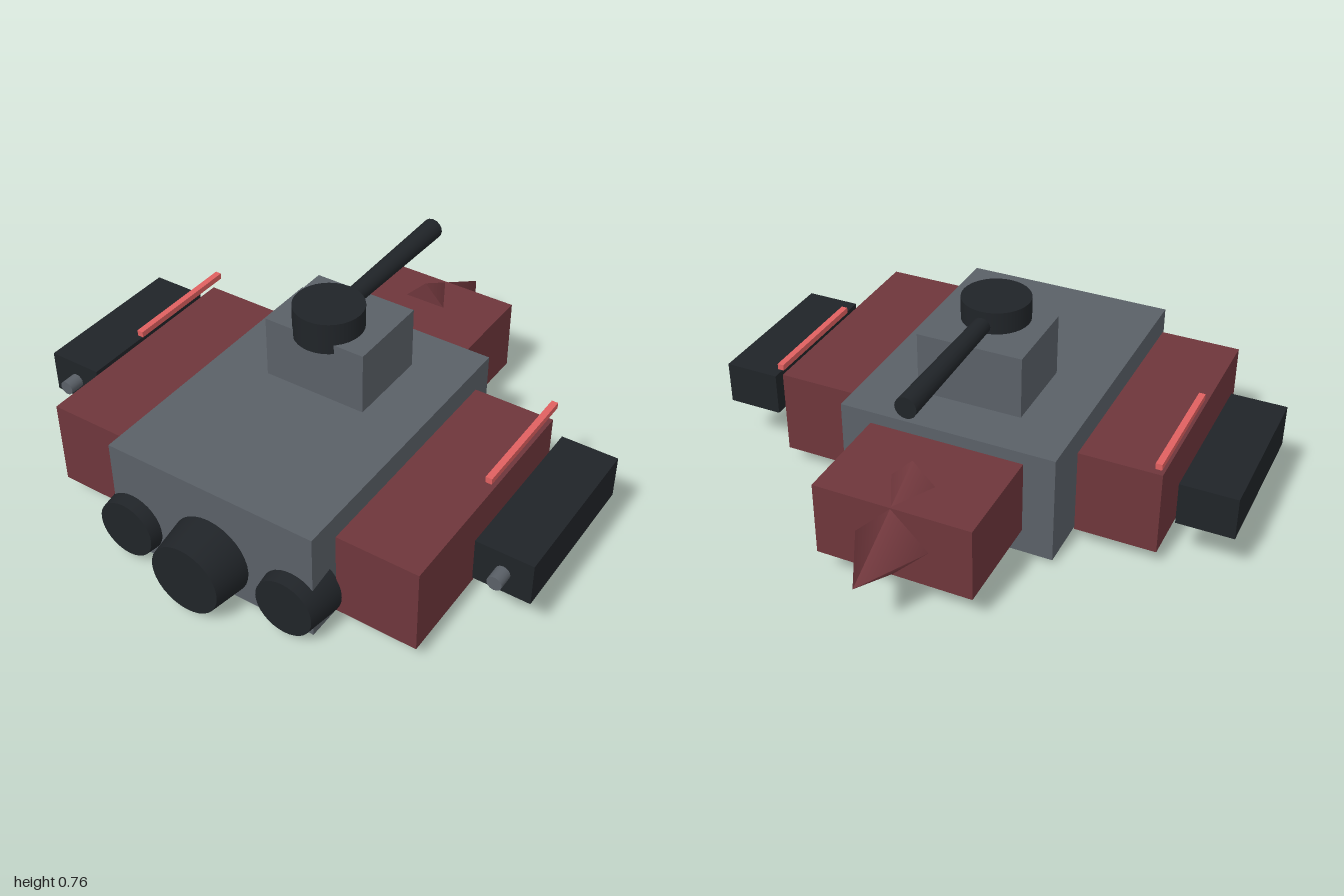
import * as THREE from 'three';

const paint = (color) => new THREE.MeshStandardMaterial({ color });

export function createModel() {
  const model = new THREE.Group();
  const grey = paint(0x5a6067), red = paint(0x6e363b), black = paint(0x202428), glow = paint(0xe06060);

  const add = (name, geometry, material) => {
    const mesh = new THREE.Mesh(geometry, material);
    mesh.name = name;
    model.add(mesh);
    return mesh;
  };
  // Box given by its limits on each axis
  const box = (name, material, [x0, x1], [y0, y1], [z0, z1]) =>
    add(name, new THREE.BoxGeometry(x1 - x0, y1 - y0, z1 - z0), material)
      .position.set((x0 + x1) / 2, (y0 + y1) / 2, (z0 + z1) / 2);
  // Round part along z, from radius r0 at z0 to r1 at z1 (z1 > z0)
  const tube = (name, material, x, y, z0, z1, r0, r1, sides) =>
    add(name, new THREE.CylinderGeometry(r1, r0, z1 - z0, sides).rotateX(Math.PI / 2), material)
      .position.set(x, y, (z0 + z1) / 2);

  // Central body
  box('hull', grey, [-0.41, 0.41], [0.02, 0.443], [-0.305, 0.82]);
  box('cabin', grey, [-0.2, 0.2], [0.443, 0.68], [-0.115, 0.21]);
  box('tailBlock', red, [-0.293, 0.293], [0.115, 0.397], [-0.705, -0.305]);

  // Four-sided spike pushed through the tail block, edges up, down and sideways
  add('tailSpike', new THREE.ConeGeometry(0.222, 0.42, 4).rotateX(-Math.PI / 2), red)
    .position.set(0, 0.257, -0.753);

  // Turret and its gun
  add('turret', new THREE.CylinderGeometry(0.127, 0.127, 0.12, 32), black).position.set(0, 0.704, 0.115);
  tube('turretGun', black, 0, 0.707, -0.578, 0.1, 0.04, 0.031, 16);

  // Front nozzles
  tube('mainNozzle', black, 0, 0.16, 0.78, 0.963, 0.16, 0.134, 32);

  for (const [side, s] of [['left', 1], ['right', -1]]) {
    const span = (a, b) => (s > 0 ? [a, b] : [-b, -a]);
    tube(side + 'Nozzle', black, s * 0.328, 0.14, 0.722, 0.87, 0.13, 0.11, 32);
    box(side + 'Pod', red, span(0.435, 0.74), [0.068, 0.397], [-0.167, 0.725]);
    box(side + 'LightStrip', glow, span(0.718, 0.742), [0.434, 0.457], [-0.19, 0.28]);
    box(side + 'GunHousing', black, span(0.79, 1), [0.198, 0.362], [-0.143, 0.467]);
    tube(side + 'GunMuzzle', grey, s * 0.895, 0.28, 0.4, 0.525, 0.027, 0.027, 16);
  }
  return model;
}
